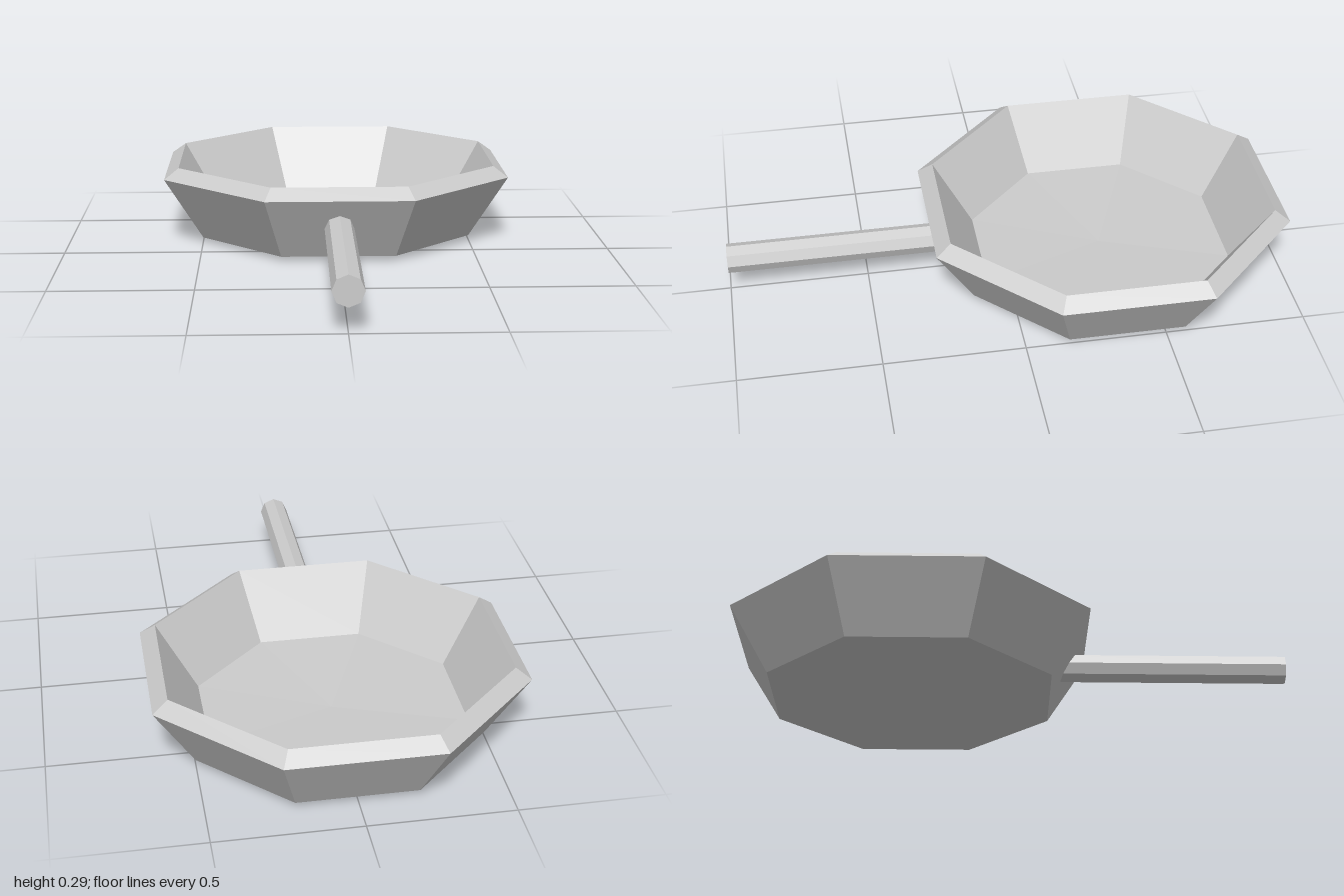
import * as THREE from 'three';

const SIDES = 8;
const PAN_Z = -0.362;

export function createModel() {
  const group = new THREE.Group();
  const material = new THREE.MeshStandardMaterial({ color: 0xcccccc, flatShading: true });

  // Octagonal bowl: closed profile of [distance to flat side, height],
  // from the underside centre, over the bevelled rim, to the inner floor centre
  const profile = [
    [0, 0], [0.25, 0.008], [0.5, 0.016],
    [0.638, 0.25], [0.585, 0.29],
    [0.447, 0.056], [0.225, 0.048], [0, 0.04],
  ];
  const toCorner = 1 / Math.cos(Math.PI / SIDES);
  const points = profile.map(([d, y]) => new THREE.Vector2(d * toCorner, y));
  const pan = new THREE.Mesh(
    new THREE.LatheGeometry(points, SIDES, Math.PI / SIDES, Math.PI * 2), material);
  pan.name = 'pan';
  pan.position.z = PAN_Z;
  group.add(pan);

  // Straight octagonal handle, its hidden end buried in the front wall
  const start = 0.17, end = 1;
  const handle = new THREE.Mesh(
    new THREE.CylinderGeometry(0.053, 0.053, end - start, SIDES), material);
  handle.name = 'handle';
  handle.rotation.x = Math.PI / 2;
  handle.position.set(0, 0.137, (start + end) / 2);
  group.add(handle);

  return group;
}
